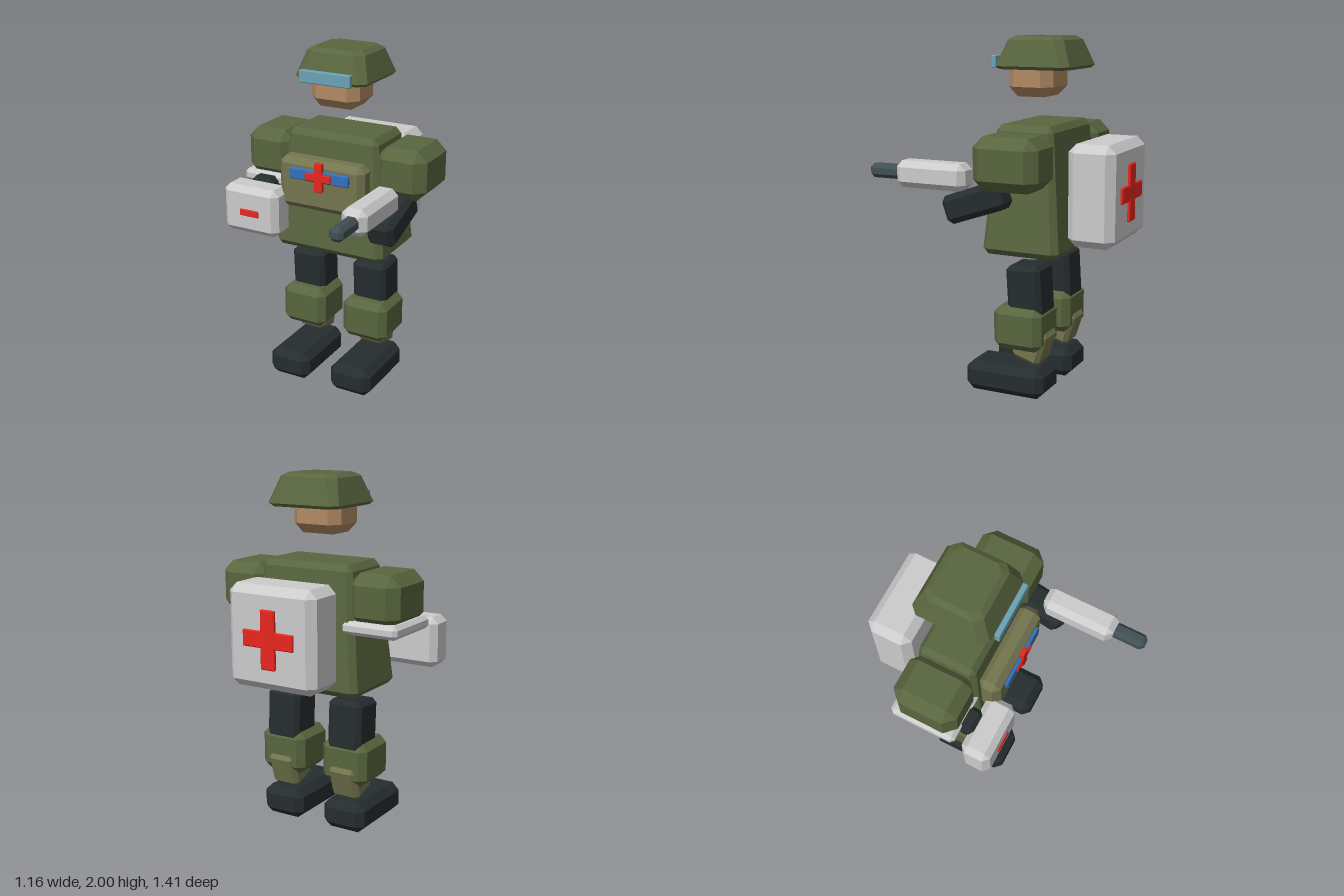
import * as THREE from 'three';
import { ConvexGeometry } from 'three/addons/geometries/ConvexGeometry.js';

const mat = (color) => new THREE.MeshStandardMaterial({ color, flatShading: true });

export function createModel() {
  const model = new THREE.Group();
  const green = mat(0x59663f), olive = mat(0x73754f), black = mat(0x262d2f), skin = mat(0xb08a62);
  const grey = mat(0xcccccc), steel = mat(0x414f55), glass = mat(0x6aa3b5), blue = mat(0x3270bf), red = mat(0xe8261e);

  // Box with every edge chamfered by c; top scales the upper end in x and z.
  function chamferBox(w, h, d, c, [topX, topZ] = [1, 1]) {
    const points = [];
    for (const x of [-1, 1]) for (const y of [-1, 1]) for (const z of [-1, 1]) {
      for (let axis = 0; axis < 3; axis++) {
        const p = [w / 2, h / 2, d / 2].map((s, i) => s - (i === axis ? 0 : c));
        const t = p[1] * y / h + 0.5;
        points.push(new THREE.Vector3(
          p[0] * x * (1 + (topX - 1) * t), p[1] * y, p[2] * z * (1 + (topZ - 1) * t)));
      }
    }
    return new ConvexGeometry(points);
  }

  // Adds a part given its extents along each axis.
  function part(name, material, [x0, x1], [y0, y1], [z0, z1], c, { top, tilt = 0 } = {}) {
    const mesh = new THREE.Mesh(chamferBox(x1 - x0, y1 - y0, z1 - z0, c, top), material);
    mesh.name = name;
    mesh.position.set((x0 + x1) / 2, (y0 + y1) / 2, (z0 + z1) / 2);
    mesh.rotation.x = tilt;
    model.add(mesh);
    return mesh;
  }

  // Head
  part('head', skin, [-0.145, 0.16], [1.67, 1.9], [-0.27, 0], 0.055);
  part('visor', glass, [-0.15, 0.167], [1.825, 1.895], [0.05, 0.08], 0.004);
  // The helmet is a stack of rounded-corner rings, widest at the rim.
  const rings = [[0.21, 0.205, 1.823], [0.225, 0.22, 1.84], [0.18, 0.165, 1.98], [0.15, 0.135, 2.0]];
  const shell = [];
  for (const [hx, hz, y] of rings) for (const sx of [-1, 1]) for (const sz of [-1, 1]) {
    const c = 0.042;
    shell.push(new THREE.Vector3(sx * hx, y, sz * (hz - c)), new THREE.Vector3(sx * (hx - c), y, sz * hz));
  }
  const helmet = new THREE.Mesh(new ConvexGeometry(shell), green);
  helmet.name = 'helmet';
  helmet.position.set(0.007, 0, -0.18);
  model.add(helmet);

  // Torso and chest plate
  part('torso', green, [-0.345, 0.36], [0.815, 1.53], [-0.405, 0.055], 0.035, { top: [0.8, 0.72] });
  part('chestPlate', olive, [-0.265, 0.275], [1.1, 1.4], [0.0, 0.13], 0.035);
  part('chestBand', blue, [-0.18, 0.195], [1.285, 1.35], [0.115, 0.147], 0.005);
  part('chestCrossUpright', red, [-0.015, 0.035], [1.23, 1.4], [0.13, 0.157], 0.004);
  part('chestCrossBar', red, [-0.075, 0.09], [1.292, 1.337], [0.13, 0.156], 0.004);

  // Backpack
  part('backpack', grey, [-0.265, 0.285], [0.885, 1.445], [-0.69, -0.42], 0.045);
  part('packCrossUpright', red, [-0.037, 0.053], [1.005, 1.325], [-0.705, -0.68], 0.005);
  part('packCrossBar', red, [-0.15, 0.167], [1.12, 1.21], [-0.704, -0.68], 0.005);

  // Left arm and tool
  part('leftShoulder', green, [0.275, 0.578], [1.205, 1.495], [-0.37, 0.01], 0.06);
  part('leftForearm', black, [0.335, 0.5], [1.042, 1.202], [-0.14, 0.22], 0.03, { tilt: 0.33 });
  part('toolBody', grey, [0.34, 0.49], [1.175, 1.325], [0.09, 0.52], 0.035);
  part('toolNozzle', steel, [0.375, 0.457], [1.213, 1.292], [0.5, 0.705], 0.022);

  // Right arm with bracket and medical case
  part('rightShoulder', green, [-0.562, -0.26], [1.205, 1.495], [-0.37, 0.01], 0.06);
  part('armBracket', grey, [-0.573, -0.235], [1.165, 1.24], [-0.38, 0.015], 0.022);
  part('rightHand', black, [-0.485, -0.335], [1.13, 1.225], [-0.06, 0.085], 0.025);
  part('medicalCase', grey, [-0.585, -0.222], [0.923, 1.208], [0.055, 0.23], 0.035);
  part('caseMark', red, [-0.465, -0.34], [1.037, 1.077], [0.215, 0.237], 0.004);

  // Legs
  for (const [side, x] of [['right', -0.197], ['left', 0.213]]) {
    const span = (half) => [x - half, x + half];
    part(side + 'Thigh', black, span(0.107), [0.37, 0.757], [-0.29, -0.085], 0.025, { tilt: 0.06 });
    part(side + 'KneeGuard', green, span(0.144), [0.277, 0.525], [-0.302, -0.01], 0.04);
    part(side + 'Shin', olive, span(0.09), [0.2, 0.405], [-0.297, -0.125], 0.025, { tilt: -0.3 });
    part(side + 'Boot', black, span(0.133), [0, 0.172], [-0.31, 0.172], 0.042);
  }
  return model;
}
